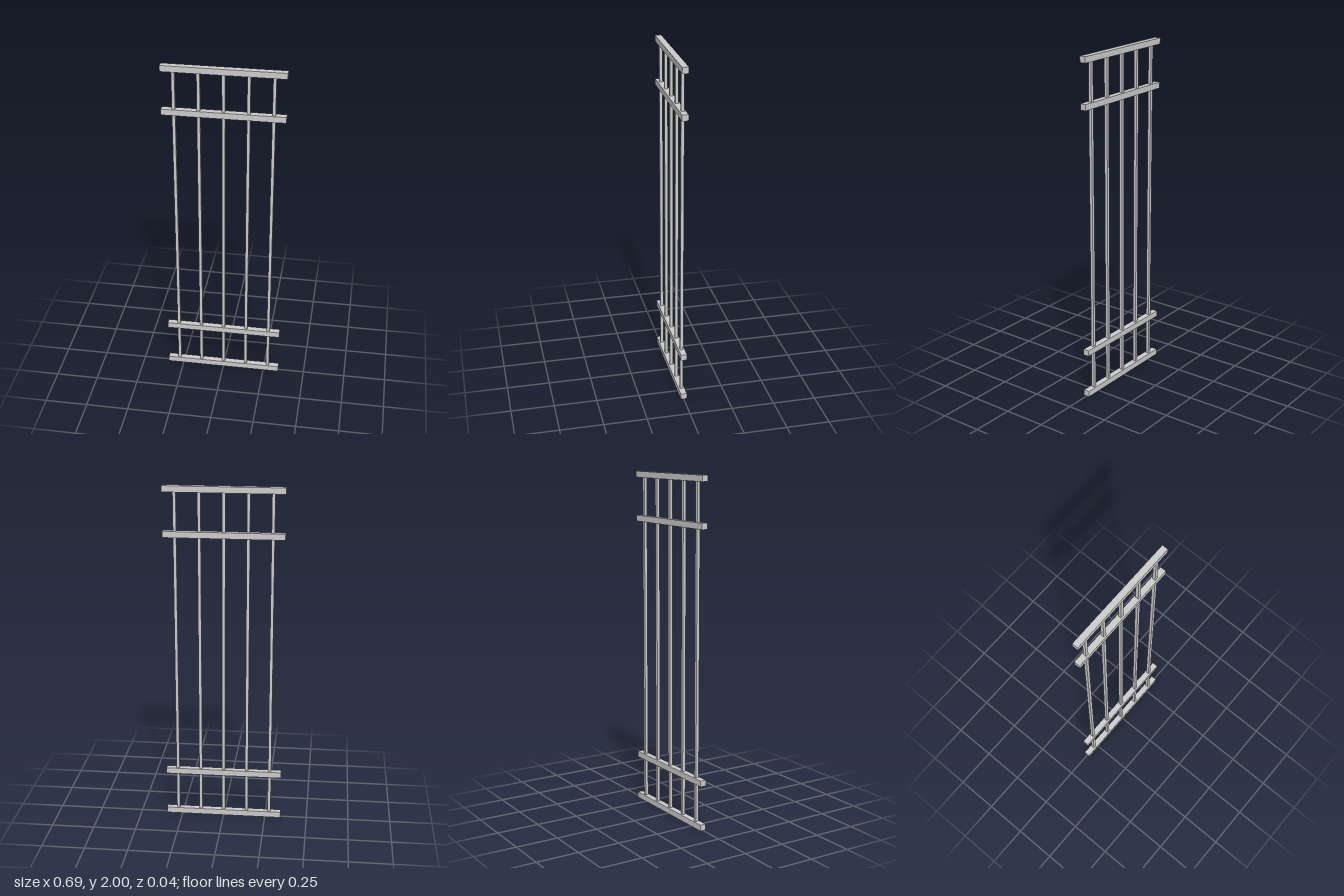
import * as THREE from 'three';

const HEIGHT = 2, WIDTH = 0.688, RAIL = 0.035, BAR = 0.018;

export function createModel() {
  const group = new THREE.Group();
  const material = new THREE.MeshStandardMaterial({ color: 0xcccccc, flatShading: true });

  const addBox = (name, w, h, d, x, y) => {
    const mesh = new THREE.Mesh(new THREE.BoxGeometry(w, h, d), material);
    mesh.name = name;
    mesh.position.set(x, y, 0);
    group.add(mesh);
  };

  // Horizontal rails, by centre height
  const rails = {
    bottomRail: RAIL / 2,
    lowerRail: 0.28,
    upperRail: 1.727,
    topRail: HEIGHT - RAIL / 2,
  };
  for (const [name, y] of Object.entries(rails)) addBox(name, WIDTH, RAIL, 0.036, 0, y);

  // Slim square upright bars, running from the bottom rail to the top rail
  for (let i = -2; i <= 2; i++) {
    addBox(`uprightBar${i + 3}`, BAR, HEIGHT - RAIL, BAR, i * 0.1375, HEIGHT / 2);
  }

  return group;
}
